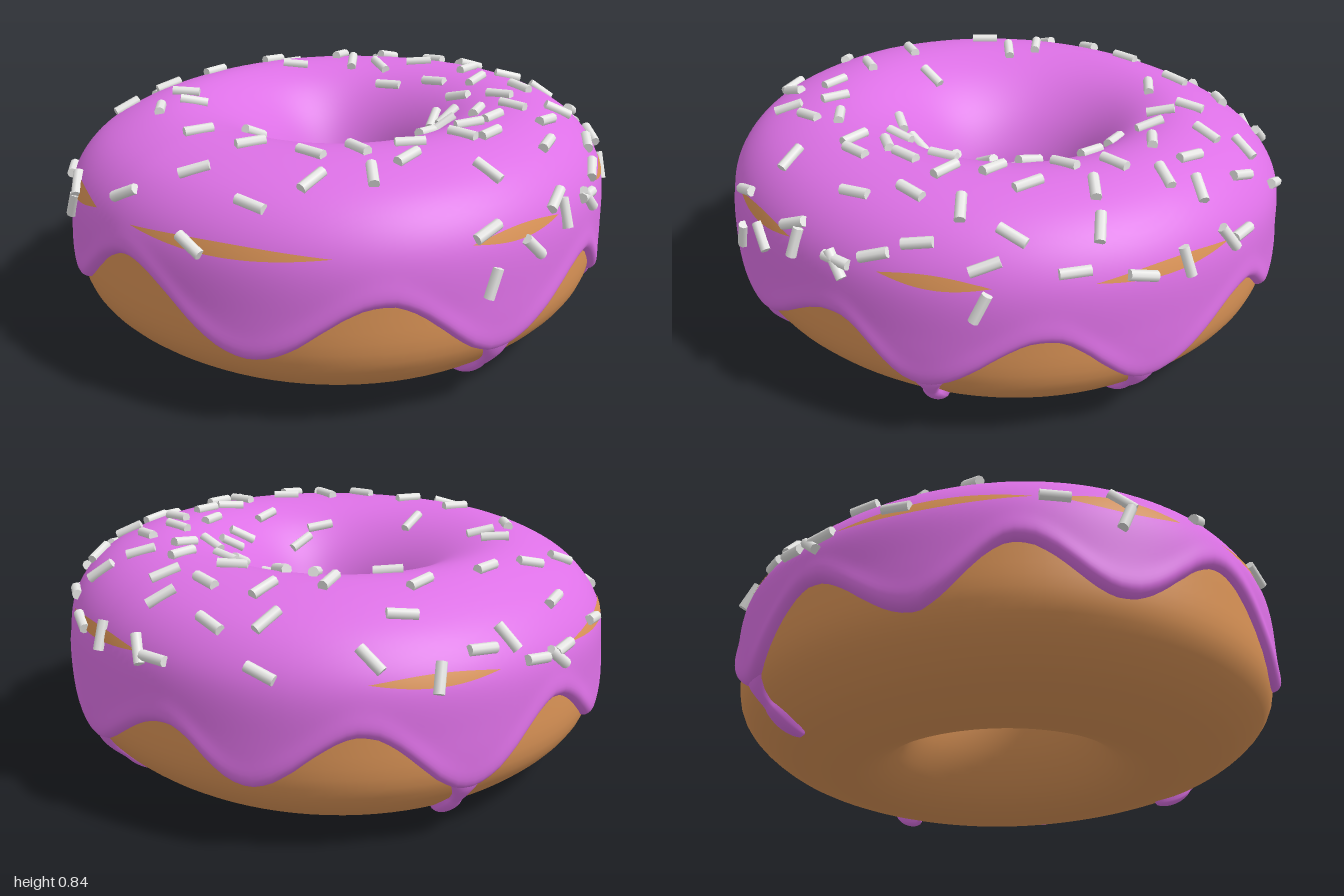
import * as THREE from 'three';

const DEG = Math.PI / 180;
const { clamp, smoothstep } = THREE.MathUtils;

// Cross-section of the ring as (radius, height): bottom, outside, top, then down the hole
const section = new THREE.CatmullRomCurve3([
  [0.55, 0.02], [0.69, 0.045], [0.83, 0.105], [0.945, 0.225], [0.962, 0.42], [0.942, 0.6], [0.86, 0.71],
  [0.72, 0.775], [0.57, 0.785], [0.42, 0.735], [0.295, 0.62], [0.228, 0.46], [0.232, 0.33], [0.285, 0.19], [0.4, 0.07],
].map(([r, y]) => new THREE.Vector3(r, y, 0)), true, 'centripetal');
section.arcLengthDivisions = 500;
const LENGTH = section.getLength();
const STEPS = 1000;
const samples = section.getSpacedPoints(STEPS);

// Section parameter lookups
const outerU = (y) => samples.findIndex((p) => p.y >= y) / STEPS;
const innerU = (y) => {
  let i = STEPS - 1;
  while (samples[i].y < y) i--;
  return i / STEPS;
};
const topU = (r) => samples.findIndex((p, i) => i > 50 && p.y > 0.52 && p.x <= r) / STEPS;

// The hand-made ring is not quite round
const outline = (phi) => 0.986 + 0.02 * Math.cos(phi + 45 * DEG) + 0.01 * Math.cos(2 * phi)
  - 0.0075 * Math.sin(2 * phi) + 0.008 * Math.cos(4 * phi);

// Lower edge of the icing: angle in degrees, height
const EDGE = [
  [-24, 0.25], [0, 0.44], [23, 0.22], [51, 0.4], [69, 0.22], [93, 0.41], [114, 0.21], [141, 0.39],
  [158, 0.24], [179, 0.42], [200, 0.21], [222, 0.42], [246, 0.23], [265, 0.43], [284, 0.27], [309, 0.49], [336, 0.25],
];
function edgeHeight(phi) {
  let d = phi / DEG;
  while (d >= 336) d -= 360;
  const k = EDGE.findIndex((e) => e[0] > d);
  const [a, ya] = EDGE[k - 1];
  const [b, yb] = EDGE[k];
  return ya + (yb - ya) * (1 - Math.cos(Math.PI * (d - a) / (b - a))) / 2;
}

// Point on the ring at angle phi (0 = front), section parameter u, raised by off
function surf(phi, u, off = 0) {
  const w = ((u % 1) + 1) % 1;
  const p = section.getPointAt(w);
  const t = section.getTangentAt(w);
  const y = p.y - t.x * off;
  let r = p.x + t.y * off;
  const inner = clamp((0.6 - r) / 0.38, 0, 1) ** 2; // the hole is slightly oval
  const lean = Math.cos(phi - 215 * DEG); // the ring sinks a little at the back
  const shoulder = smoothstep(r, 0.55, 0.85) * smoothstep(y, 0.45, 0.7);
  const drop = 0.01 * lean + 0.03 * Math.max(0, lean) * shoulder;
  r *= 1 + (outline(phi) - 1) * clamp((r - 0.3) / 0.55, 0, 1);
  return new THREE.Vector3(
    r * Math.sin(phi) + 0.024 * inner, y - drop, r * Math.cos(phi) * (1 + 0.21 * inner) - 0.008 * inner);
}

// Smooth grid of quads from fn(s, t), optionally wrapping in either direction
function grid(fn, ns, nt, wrapS = false, wrapT = false) {
  const cs = wrapS ? ns : ns + 1;
  const ct = wrapT ? nt : nt + 1;
  const pos = [];
  const idx = [];
  for (let i = 0; i < cs; i++) for (let j = 0; j < ct; j++) pos.push(...fn(i / ns, j / nt).toArray());
  for (let i = 0; i < ns; i++) {
    for (let j = 0; j < nt; j++) {
      const i2 = (i + 1) % cs;
      const j2 = (j + 1) % ct;
      const a = i * ct + j, b = i2 * ct + j, c = i2 * ct + j2, d = i * ct + j2;
      idx.push(a, b, c, a, c, d);
    }
  }
  const g = new THREE.BufferGeometry();
  g.setAttribute('position', new THREE.Float32BufferAttribute(pos, 3));
  g.setIndex(idx);
  g.computeVertexNormals();
  return g;
}

// Icing shell with a rounded bead at both rims
function icingPoint(s, t) {
  const phi = s * 2 * Math.PI;
  const u0 = outerU(edgeHeight(phi));
  const u1 = innerU(0.38 + 0.09 * Math.cos(phi - 35 * DEG));
  const k = (1 - Math.cos(Math.PI * t)) / 2;
  const rim = Math.min(k, 1 - k) * (u1 - u0) * LENGTH;
  const round = Math.sqrt(1 - (1 - Math.min(1, rim / 0.035)) ** 2);
  const bead = 0.006 * Math.exp(-(((rim - 0.04) / 0.04) ** 2));
  return surf(phi, u0 + (u1 - u0) * k, -0.006 + (0.028 + bead) * round);
}

// Drip running down the dough, necked in the middle with a round bulb
function dripGeometry(deg, bottom) {
  const u0 = outerU(0.26);
  const u1 = outerU(bottom);
  return grid((s, t) => {
    const k = 1 - t;
    const neck = 0.026 + 0.04 * Math.exp(-((k / 0.25) ** 2));
    const bulb = 0.047 * Math.sqrt(Math.max(0, 1 - ((k - 0.7) / 0.3) ** 2));
    const half = Math.max(k < 0.7 ? neck : 0.001, bulb);
    const v = s * 2 - 1;
    const lift = (0.012 + Math.min(half, 0.047) * 0.5) * (0.6 + 0.4 * smoothstep(k, 0, 0.5));
    return surf(deg * DEG + v * half / 0.9, u0 + (u1 - u0) * k,
      -0.006 + lift * Math.sqrt(Math.max(0, 1 - v * v)) * Math.min(1, half / 0.02));
  }, 14, 28);
}

// Thin lens-shaped streak where the dough shows on the flank
function streakGeometry(from, to, half) {
  const u = outerU(0.595);
  return grid((s, t) => surf((from + (to - from) * s) * DEG,
    u + (t * 2 - 1) * half * Math.sin(Math.PI * s) / LENGTH, 0.0245), 32, 2);
}

// Sprinkles seen from above: direction in degrees, then their (x, z) positions
const SPRINKLES = [
  [0, -0.12, -0.78, 0.67, -0.21, 0.8, -0.21, -0.54, -0.03, -0.53, 0.61, 0.14, 0.6],
  [-9, -0.12, -0.52, 0.37, -0.44, -0.56, -0.14, -0.74, 0.53],
  [18, 0.59, -0.55, 0.58, -0.44, -0.52, 0.36, -0.35, -0.82, -0.56, -0.78, -0.62, -0.36, -0.77, -0.2,
    0.37, 0.1, 0.01, 0.39, -0.36, 0.52],
  [43, -0.2, -0.63, 0.28, -0.64, -0.44, -0.48, -0.81, -0.43, 0.53, -0.29, 0.34, 0.01, -0.91, 0.24,
    -0.35, 0.28, 0.46, 0.36, 0.65, 0.34, 0.41, 0.52, 0.11, 0.7, -0.19, 0.78, 0.78, 0.61],
  [60, -0.66, -0.67, 0.08, -0.63, -0.65, -0.53, 0.44, 0.24, 0.09, 0.32, 0.6, 0.51, 0.31, 0.88],
  [87, -0.65, 0.06, -0.97, 0.03, 0.8, 0.32, -0.01, 0.78, -0.55, 0.79, 0.57, 0.7],
  [-45, -0.44, -0.76, 0.61, -0.69, 0.39, -0.23, 0.44, -0.03, 0.56, 0.09, -0.18, 0.64, 0.32, 0.53, -0.37, 0.8, 0.35, 0.73],
  [-62, -0.01, -0.9, 0.3, -0.87, 0.44, -0.72, 0.66, -0.01, 0.88, 0.13, -0.03, 0.63],
];
// Sprinkles on the steep flank: angle around the ring, height, turn from level
const FLANK = [[20, 0.47, 70], [30, 0.54, -45], [41, 0.59, 85], [-75, 0.54, 65], [81, 0.54, 65], [52, 0.58, -50],
  [134, 0.6, -60], [193, 0.6, 75], [222, 0.57, -40]];

export function createModel() {
  const material = (name, color) => {
    const m = new THREE.MeshStandardMaterial({ color });
    m.name = name;
    return m;
  };
  const doughColor = material('baked dough', 0xda9356);
  const icingColor = material('pink icing', 0xdd71e6);
  const sprinkleColor = material('white sprinkle', 0xe8e8e6);
  const model = new THREE.Group();
  model.name = 'donut';
  const add = (parent, name, geometry, mat) => {
    const mesh = new THREE.Mesh(geometry, mat);
    mesh.name = name;
    parent.add(mesh);
    return mesh;
  };

  add(model, 'dough', grid((s, t) => surf(s * 2 * Math.PI, t), 96, 64, true, true), doughColor);
  add(model, 'icing', grid(icingPoint, 192, 64, true), icingColor);

  for (const [deg, bottom] of [[24, 0.05], [70, 0.095], [114, 0.036], [200, 0.065]]) {
    add(model, 'drip', dripGeometry(deg, bottom), icingColor);
  }
  for (const [from, to, half] of [[-88, -62, 0.03], [-50, -9, 0.02], [16, 39, 0.02], [61, 83, 0.02],
    [102, 134, 0.02], [180, 206, 0.022], [228, 268, 0.022]]) {
    add(model, 'doughStreak', streakGeometry(from, to, half), doughColor);
  }

  // Sprinkles lie flat on the icing; direction(around, up) gives the way each one points
  const sprinkles = new THREE.Group();
  sprinkles.name = 'sprinkles';
  model.add(sprinkles);
  const rod = new THREE.CylinderGeometry(0.018, 0.018, 0.098, 8);
  const place = (phi, u, direction) => {
    const p = surf(phi, u, 0.029);
    const around = surf(phi + 0.01, u, 0.029).sub(p).normalize();
    const up = surf(phi, u + 0.002, 0.029).sub(p).normalize();
    const normal = around.clone().cross(up).normalize();
    const along = direction(around, up).projectOnPlane(normal).normalize();
    const mesh = add(sprinkles, 'sprinkle', rod, sprinkleColor);
    mesh.position.copy(p);
    mesh.quaternion.setFromUnitVectors(new THREE.Vector3(0, 1, 0), along);
  };
  const placeFromAbove = (x, z, turn) => {
    const phi = Math.atan2(x, z);
    place(phi, topU(Math.min(0.945, Math.hypot(x, z) / outline(phi))),
      () => new THREE.Vector3(Math.cos(turn * DEG), 0, -Math.sin(turn * DEG)));
  };
  for (const [turn, ...spots] of SPRINKLES) {
    for (let i = 0; i < spots.length; i += 2) placeFromAbove(spots[i], spots[i + 1], turn);
  }
  for (const [deg, y, turn] of FLANK) {
    place(deg * DEG, outerU(y), (around, up) => around.clone().multiplyScalar(Math.cos(turn * DEG))
      .addScaledVector(up, Math.sin(turn * DEG)));
  }
  // Fill gaps on the right-hand half, keeping clear of the sprinkles already there
  for (let i = 0; i < 160 && sprinkles.children.length < 94; i++) {
    const phi = (20 + (i * 67.3) % 150) * DEG;
    const r = 0.38 + 0.55 * ((i * 0.618) % 1);
    const x = r * Math.sin(phi);
    const z = r * Math.cos(phi);
    if (sprinkles.children.every(({ position: q }) => Math.hypot(q.x - x, q.z - z) > 0.11)) placeFromAbove(x, z, i * 53);
  }
  return model;
}
